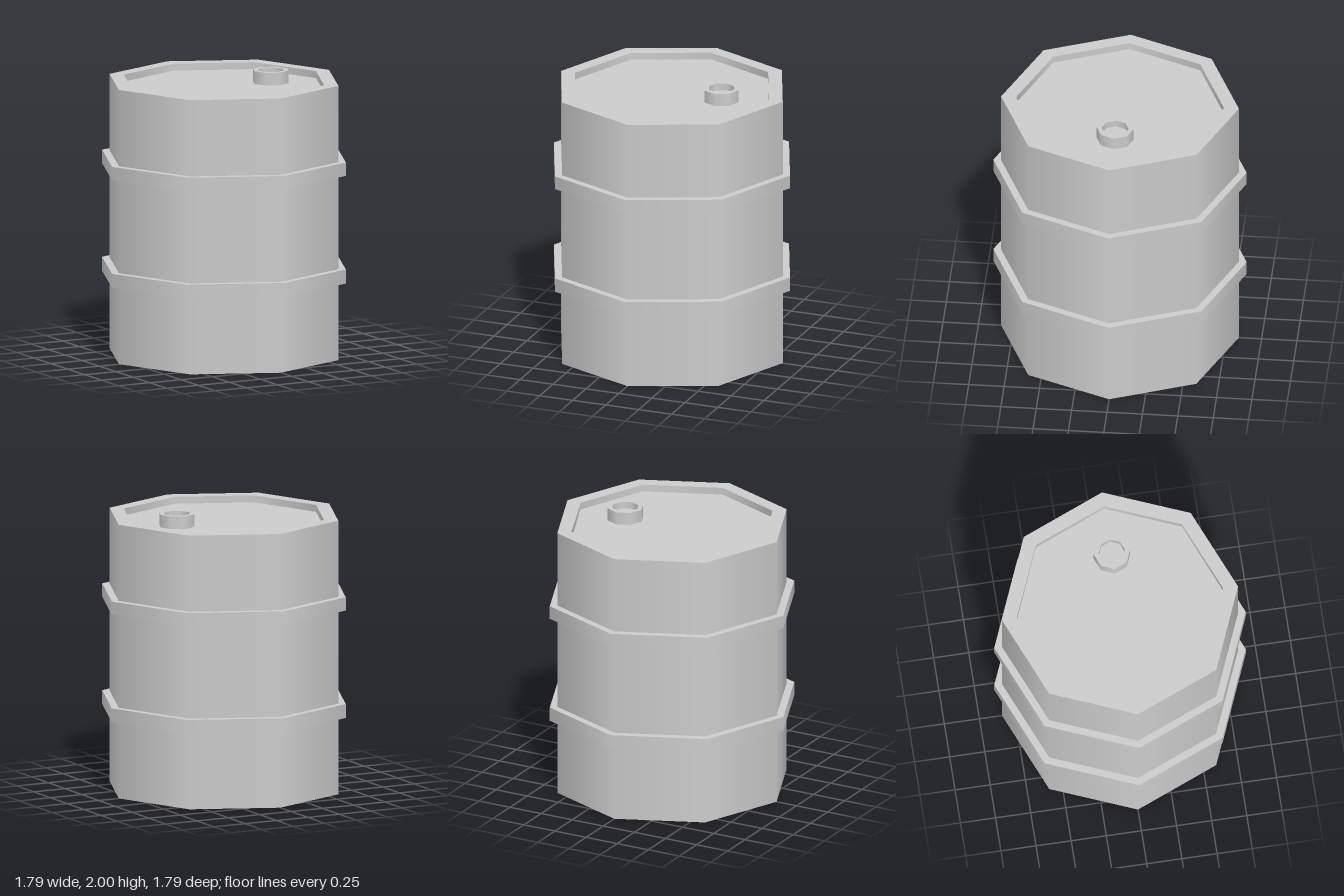
import * as THREE from 'three';
import { mergeGeometries } from 'three/addons/utils/BufferGeometryUtils.js';

const SIDES = 8, BODY_R = 0.84, RING_R = 0.895;
const BANDS = [[0.55, 0.65], [1.32, 1.415]];

const grey = (extra = {}) => new THREE.MeshStandardMaterial({ color: 0xcccccc, ...extra });

// Octagonal turning: every profile step is its own strip, so profile corners
// stay sharp while the shading runs smoothly around the sides.
function turned(name, profile) {
  const strips = [];
  for (let i = 0; i < profile.length - 1; i++) {
    const pair = [profile[i], profile[i + 1]].map(([r, y]) => new THREE.Vector2(r, y));
    strips.push(new THREE.LatheGeometry(pair, SIDES));
  }
  const mesh = new THREE.Mesh(mergeGeometries(strips), grey());
  mesh.name = name;
  return mesh;
}

// Point on the octagon: u counts corners around from the front (+z) towards +x.
function onSide(u, y, r) {
  const corner = (k) => new THREE.Vector3(Math.sin(k * Math.PI / 4) * r, y, Math.cos(k * Math.PI / 4) * r);
  const k = Math.floor(u);
  return corner(k).lerp(corner(k + 1), u - k);
}

// Break lines as [u, y] paths
const SEAMS = [
  [[0.34, 1.96], [0.28, 1.87], [0.17, 1.415], [0, 1.32], [-0.39, 1.09], [-0.45, 0]],
  [[0.24, 1.96], [0.28, 1.87]],
  [[0.17, 1.415], [0.34, 1.32], [1, 1.02], [2, 0.93], [2.55, 0.93], [2.72, 1.96]],
  [[1, 1.02], [0.19, 0]],
  [[-0.39, 1.09], [-1, 1.2], [-1.6, 1.45], [-1.33, 1.96]],
  [[-1.6, 1.45], [-2, 1.47], [-3, 1.35], [-3.25, 1.42], [-3.84, 1.96]],
  [[2.55, 0.93], [3.19, 0.56], [3.25, 0]],
  [[3.19, 0.56], [4, 1.02], [4.75, 1.42]],
  [[5, 1.35], [5.1, 0]],
];

// Thin break walls reaching inwards from the surface along each line
function seams() {
  const positions = [], STEPS = 40;
  const radius = (y) => (BANDS.some(([a, b]) => y >= a && y <= b) ? RING_R : BODY_R);
  for (const path of SEAMS) {
    for (let i = 0; i < path.length - 1; i++) {
      const at = (t) => path[i].map((v, j) => v + (path[i + 1][j] - v) * t);
      for (let s = 0; s < STEPS; s++) {
        const [u0, y0] = at(s / STEPS), [u1, y1] = at((s + 1) / STEPS);
        const r = radius(y0);
        if (radius(y1) !== r) continue;
        const a = onSide(u0, y0, r), b = onSide(u1, y1, r);
        const c = onSide(u1, y1, r * 0.92), d = onSide(u0, y0, r * 0.92);
        for (const p of [a, b, c, a, c, d]) positions.push(p.x, p.y, p.z);
      }
    }
  }
  const geometry = new THREE.BufferGeometry();
  geometry.setAttribute('position', new THREE.Float32BufferAttribute(positions, 3));
  geometry.computeVertexNormals();
  const mesh = new THREE.Mesh(geometry, grey({ side: THREE.DoubleSide }));
  mesh.name = 'breakSeams';
  return mesh;
}

export function createModel() {
  const group = new THREE.Group();
  group.name = 'barrel';

  // Body with recessed bottom and lid
  group.add(turned('body', [
    [0, 0.05], [0.735, 0.05], [0.735, 0], [BODY_R, 0],
    [BODY_R, 1.96], [0.735, 1.96], [0.735, 1.91], [0, 1.91],
  ]));

  // Two raised hoops
  BANDS.forEach(([low, high], i) => {
    group.add(turned(i ? 'upperHoop' : 'lowerHoop', [
      [BODY_R - 0.02, low], [RING_R, low], [RING_R, high], [BODY_R - 0.02, high],
    ]));
  });

  // Filler cap with a hollow centre
  const cap = turned('fillerCap', [
    [0.13, 1.9], [0.13, 2], [0.095, 2], [0.095, 1.95], [0, 1.95],
  ]);
  cap.position.x = 0.375;
  group.add(cap);

  group.add(seams());
  return group;
}
